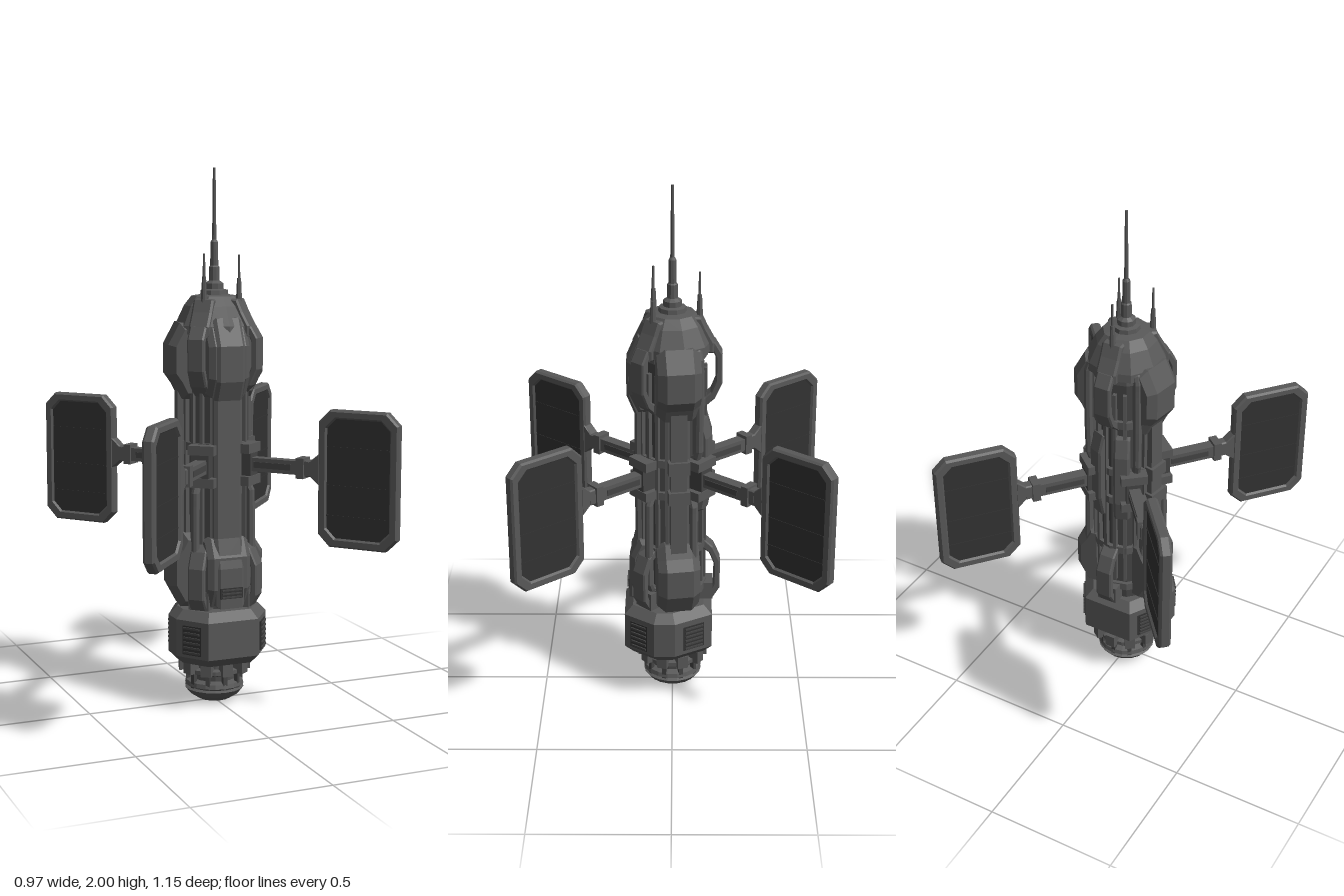
import * as THREE from 'three';

export function createModel() {
  const mat = (name, color) => Object.assign(new THREE.MeshStandardMaterial({ color }), { name });
  const hull = mat('hull grey', 0x585858);
  const dark = mat('recess grey', 0x444444);
  const cell = mat('solar cell', 0x323232);
  const station = new THREE.Group();
  station.name = 'spaceStation';
  const rad = THREE.MathUtils.degToRad;

  // faceted normals
  const flat = (g) => {
    const f = g.index ? g.toNonIndexed() : g;
    f.computeVertexNormals();
    return f;
  };
  const add = (parent, name, geo, m = hull, x = 0, y = 0, z = 0) => {
    const mesh = new THREE.Mesh(flat(geo), m);
    mesh.name = name;
    mesh.position.set(x, y, z);
    parent.add(mesh);
    return mesh;
  };
  const box = (w, h, d) => new THREE.BoxGeometry(w, h, d);
  const vecs = (pts) => pts.map(([a, b]) => new THREE.Vector2(a, b));
  const lathe = (pts, n) => new THREE.LatheGeometry(vecs(pts), n);

  // group whose local +z points outward at an angle from the front
  const sector = (name, deg) => {
    const g = new THREE.Group();
    g.name = name;
    g.rotation.y = rad(deg);
    station.add(g);
    return g;
  };
  // side profile (radius, height) given a tangential width
  const slab = (pts, width, bevel = 0, hole = null) => {
    const s = new THREE.Shape(vecs(pts));
    if (hole) s.holes.push(new THREE.Path(vecs(hole)));
    const g = new THREE.ExtrudeGeometry(s, {
      depth: width - 2 * bevel, bevelEnabled: bevel > 0, bevelThickness: bevel,
      bevelSize: bevel * 0.8, bevelOffset: -bevel * 0.8, bevelSegments: 1,
    });
    return g.translate(0, 0, bevel - width / 2).rotateY(-Math.PI / 2);
  };
  const flip = (pts, top) => pts.map(([r, y]) => [r, top - y]).reverse();

  // bottom dome and neck
  add(station, 'bottomDome', lathe([[0, 0], [0.06, 0.008], [0.095, 0.03], [0.112, 0.052], [0.1, 0.058],
    [0.112, 0.066], [0.108, 0.082], [0.085, 0.09], [0.09, 0.11], [0.115, 0.12], [0.115, 0.135],
    [0.095, 0.14], [0.1, 0.2]], 18));
  for (let i = 0; i < 10; i++) {
    const s = sector('neckStrut', i * 36);
    add(s, 'strutBlock', box(0.04, 0.05, 0.045), hull, 0, 0.145, 0.112);
    add(s, 'strutRod', box(0.016, 0.08, 0.016), dark, 0, 0.1, 0.1);
  }

  // service module with eight faces
  const half = [[0.1, 0.183], [0.182, 0.07], [0.182, -0.01], [0.1, -0.152]];
  const outline = [...half, ...half.map(([x, z]) => [-x, z]).reverse()];
  const base = new THREE.ExtrudeGeometry(new THREE.Shape(vecs(outline)), {
    depth: 0.14, bevelThickness: 0.033, bevelSize: 0.032, bevelOffset: -0.032, bevelSegments: 1,
  }).rotateX(Math.PI / 2);
  add(station, 'serviceModule', base, hull, 0, 0.345, 0);
  const vent = (x, y, z, deg, w, h, rows) => {
    const g = new THREE.Group();
    g.name = 'vent';
    g.position.set(x, y, z);
    g.rotation.y = rad(deg);
    station.add(g);
    add(g, 'ventPlate', box(w, h, 0.008), cell);
    for (let i = 0; i < rows; i++)
      add(g, 'ventSlat', box(w * 0.85, h / rows * 0.4, 0.008), dark, 0, ((i + 0.5) / rows - 0.5) * h, 0.005);
  };
  for (const s of [-1, 1]) {
    vent(s * 0.141, 0.272, 0.1265, s * 54, 0.08, 0.11, 6);
    vent(s * 0.141, 0.272, -0.081, s * 120, 0.09, 0.1, 6);
  }

  // core and vertical rods
  add(station, 'core', new THREE.CylinderGeometry(0.115, 0.115, 1.08, 12), dark, 0, 0.91, 0);
  for (let i = 0; i < 20; i++)
    add(sector('coreRod', i * 18 + 9), 'rod', box(0.013, 0.86, 0.02), hull, 0, 0.9, 0.118);
  for (const y of [0.44, 0.62, 0.855, 0.985, 1.2, 1.39])
    add(station, 'coreBand', new THREE.CylinderGeometry(0.13, 0.13, 0.03, 12), hull, 0, y, 0);

  // nose and main mast
  add(station, 'nose', lathe([[0.1, 1.38], [0.148, 1.4], [0.145, 1.43], [0.112, 1.5], [0.085, 1.535],
    [0.052, 1.54], [0.05, 1.556], [0.034, 1.56], [0.034, 1.58], [0.02, 1.59], [0.019, 1.64],
    [0.015, 1.645], [0.014, 1.73], [0.008, 1.74], [0.005, 2], [0, 2]], 10));

  // front spine with flared ends
  const front = sector('frontSpine', 0);
  add(front, 'spine', slab([[0.08, 0.39], [0.165, 0.39], [0.165, 0.54], [0.14, 0.65], [0.14, 1.16],
    [0.168, 1.23], [0.168, 1.36], [0.125, 1.46], [0.08, 1.46]], 0.11, 0.012));
  const endPad = [[0.08, 1.17], [0.125, 1.17], [0.158, 1.24], [0.158, 1.36], [0.125, 1.43], [0.08, 1.43]];
  add(front, 'spineTopPad', slab(endPad, 0.16, 0.02));
  add(front, 'spineBottomPad', slab(flip(endPad, 1.82), 0.17, 0.02));
  vent(0, 0.448, 0.164, 0, 0.09, 0.04, 3);

  // side spines with rounded tank pads
  const tankPad = [[0.07, 1.16], [0.13, 1.16], [0.155, 1.21], [0.183, 1.25], [0.183, 1.36], [0.14, 1.44], [0.07, 1.44]];
  for (const s of [-1, 1]) {
    const side = sector('sideSpine', s * 100);
    add(side, 'spine', box(0.06, 0.7, 0.05), hull, 0, 0.9, 0.12);
    add(side, 'topTank', slab(tankPad, 0.16, 0.03));
    add(side, 'bottomTank', slab(flip(tankPad, 1.82), 0.16, 0.03));
    add(side, 'spineClamp', box(0.08, 0.05, 0.07), hull, 0, 0.86, 0.122);
    add(side, 'spineClamp', box(0.08, 0.05, 0.07), hull, 0, 0.98, 0.122);

    // rear cover plate
    add(sector('rearPlate', s * 158), 'plate', slab([[0.1, 0.76], [0.135, 0.78], [0.15, 0.86],
      [0.15, 1.07], [0.13, 1.14], [0.1, 1.15]], 0.06, 0.008));

    // bent pipes
    for (const [deg, y0, y1] of [[52, 0.44, 0.86], [124, 0.42, 0.86], [134, 0.98, 1.44]]) {
      const path = new THREE.CatmullRomCurve3([[0.09, y0], [0.135, y0 + 0.03], [0.14, y0 + 0.09],
        [0.14, y1 - 0.09], [0.135, y1 - 0.03], [0.09, y1]].map(([r, y]) => new THREE.Vector3(0, y, r)));
      add(sector('pipe', s * deg), 'pipeTube', new THREE.TubeGeometry(path, 20, 0.016, 8));
    }
  }

  // three bays: nose block, whip antenna, upper and lower handles
  const grip = [[0.11, 1.43], [0.155, 1.43], [0.182, 1.385], [0.182, 1.27], [0.155, 1.21], [0.11, 1.17],
    [0.11, 1.21], [0.14, 1.235], [0.158, 1.28], [0.158, 1.37], [0.145, 1.4], [0.11, 1.4]].reverse();
  for (const deg of [45, 180, -45]) {
    const bay = sector('bay', deg);
    add(bay, 'noseBlock', slab([[0.05, 1.39], [0.15, 1.39], [0.152, 1.43], [0.125, 1.48], [0.105, 1.525], [0.05, 1.53]], 0.08, 0.008));
    add(bay, 'antennaBase', new THREE.CylinderGeometry(0.008, 0.013, 0.1, 8), hull, 0, 1.55, 0.098);
    add(bay, 'antennaWhip', new THREE.CylinderGeometry(0.004, 0.005, 0.1, 6), hull, 0, 1.635, 0.098);
    add(bay, 'upperHandle', slab(grip, 0.065, 0.006));
    add(bay, 'lowerHandle', slab(flip(grip, 1.81), 0.065, 0.006));
    add(bay, 'lowerHandleFoot', box(0.08, 0.07, 0.06), hull, 0, 0.415, 0.125);
  }

  // four solar wings
  const plate = (r0, r1, y0, y1, c) => [[r0 + c, y0], [r1 - c, y0], [r1, y0 + c], [r1, y1 - c],
    [r1 - c, y1], [r0 + c, y1], [r0, y1 - c], [r0, y0 + c]];
  const inner = plate(0.463, 0.704, 0.674, 1.108, 0.035);
  for (const deg of [40, 140, 220, 320]) {
    const wing = sector('solarWing', deg);
    for (const y of [0.86, 0.98]) add(wing, 'mountPlate', box(0.1, 0.035, 0.08), hull, 0, y, 0.128);
    add(wing, 'mountBlock', box(0.06, 0.1, 0.06), dark, 0, 0.92, 0.135);
    add(wing, 'arm', box(0.042, 0.05, 0.27), hull, 0, 0.92, 0.265);
    for (const x of [-0.022, 0.022]) add(wing, 'armInset', box(0.004, 0.022, 0.15), dark, x, 0.92, 0.25);
    add(wing, 'armJoint', box(0.058, 0.075, 0.03), hull, 0, 0.92, 0.362);
    add(wing, 'wingRoot', slab([[0.375, 0.89], [0.4, 0.89], [0.436, 0.86], [0.436, 0.98], [0.4, 0.95], [0.375, 0.95]], 0.04, 0.005));
    add(wing, 'panelFrame', slab(plate(0.43, 0.737, 0.64, 1.14, 0.045), 0.042, 0.008, inner));
    add(wing, 'solarCells', slab(inner, 0.026), cell);
    for (const y of [0.755, 0.865, 1.005])
      add(wing, 'cellDivider', box(0.03, 0.005, 0.24), cell, 0, y, 0.583);
  }
  return station;
}
